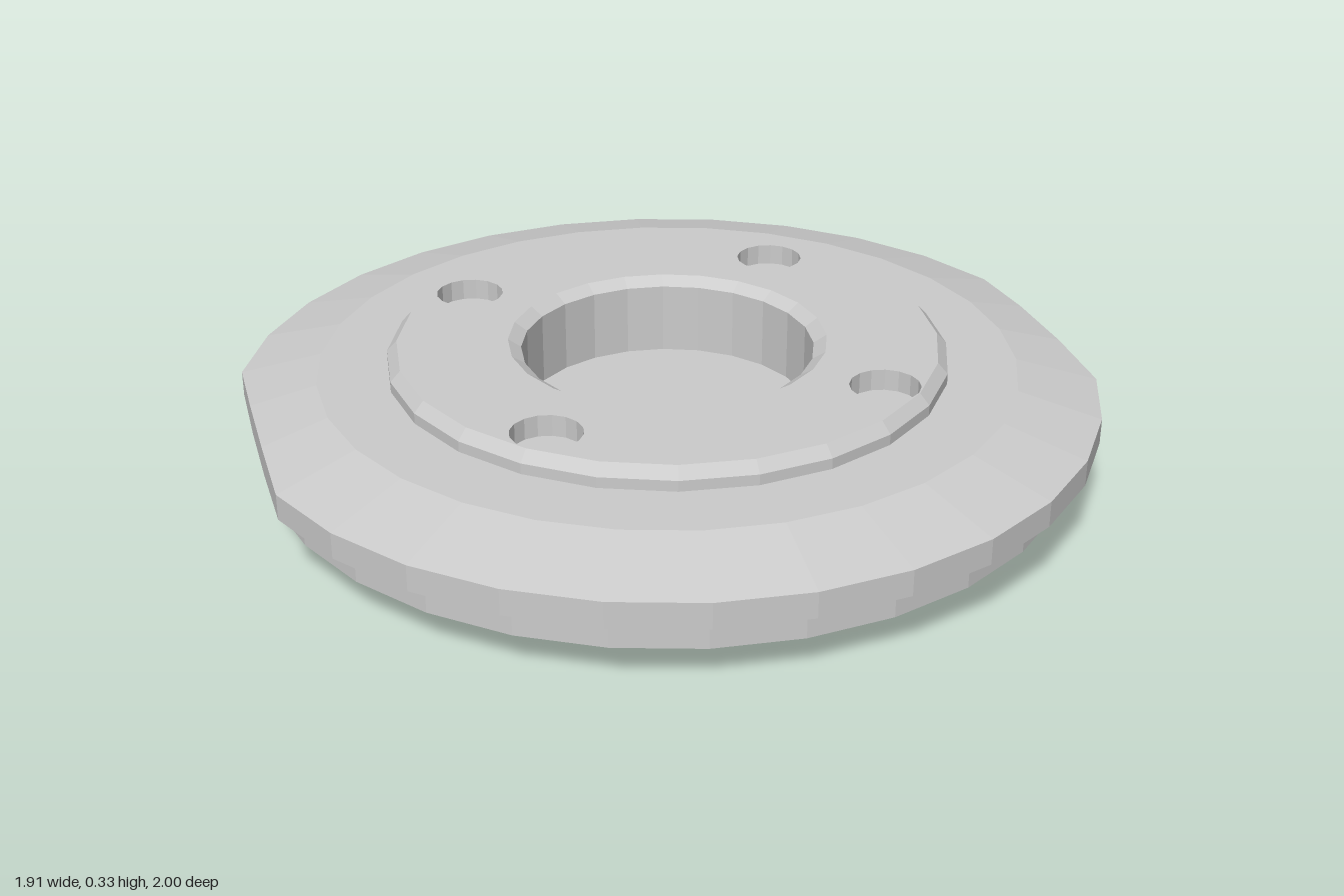
import * as THREE from 'three';

const BORE_SIDES = 24, RIM_SIDES = 30, HOLE_SIDES = 16;
const HOLE_OFFSET = 0.385, HOLE_RADIUS = 0.08;
const FLAT_X = 0.955, TOP = 0.33, FLANGE_TOP = 0.28;

const material = new THREE.MeshStandardMaterial({ color: 0xcccccc, flatShading: true });

function addPart(group, name, geometry) {
  const mesh = new THREE.Mesh(geometry, material);
  mesh.name = name;
  group.add(mesh);
  return mesh;
}

const lathe = (profile, sides) =>
  new THREE.LatheGeometry(profile.map(([r, y]) => new THREE.Vector2(r, y)), sides);

// Regular polygon whose corners line up with the lathed parts
function polygon(radius, sides, x = 0, y = 0) {
  return Array.from({ length: sides }, (_, i) => {
    const a = (i / sides) * Math.PI * 2;
    return new THREE.Vector2(x + radius * Math.sin(a), y + radius * Math.cos(a));
  });
}

// Bevelled ring with two opposite sides cut flat
function flangeGeometry() {
  const geometry = lathe(
    [[0.64, 0.17], [1, 0.17], [1, 0.23], [0.81, FLANGE_TOP], [0.64, FLANGE_TOP]], RIM_SIDES);
  const p = geometry.attributes.position;
  for (let i = 0; i < p.count; i++) {
    const x = p.getX(i), z = p.getZ(i);
    if (Math.abs(x) <= FLAT_X) continue;
    p.setX(i, Math.sign(x) * FLAT_X);
    // Slide the upper edge up the bevel to where the cut meets it
    if (p.getY(i) > 0.2) p.setY(i, 0.23 + (1 - Math.hypot(FLAT_X, z)) * 0.05 / 0.19);
  }
  geometry.computeVertexNormals();
  return geometry;
}

export function createModel() {
  const group = new THREE.Group();
  group.name = 'flangedDisc';

  // Stepped underside
  addPart(group, 'baseDisc', lathe([[0, 0], [0.65, 0], [0.65, 0.09]], BORE_SIDES));
  addPart(group, 'middleDisc', lathe([[0.64, 0.09], [0.945, 0.09], [0.945, 0.17]], RIM_SIDES));
  addPart(group, 'flange', flangeGeometry());

  // Raised hub with chamfered edge and blind central bore
  addPart(group, 'hubRim', lathe([[0.65, FLANGE_TOP], [0.65, 0.305], [0.627, TOP]], BORE_SIDES));
  addPart(group, 'bore', lathe([[0.37, TOP], [0.34, 0.31], [0.34, 0.14], [0, 0.14]], BORE_SIDES));

  // Hub face pierced by the bore and four bolt holes
  const face = new THREE.Shape(polygon(0.627, BORE_SIDES));
  face.holes.push(new THREE.Path(polygon(0.37, BORE_SIDES)));
  for (const sx of [-1, 1]) {
    for (const sz of [-1, 1]) {
      const x = sx * HOLE_OFFSET, z = sz * HOLE_OFFSET;
      face.holes.push(new THREE.Path(polygon(HOLE_RADIUS, HOLE_SIDES, x, -z)));
      const hole = addPart(group, 'boltHole', lathe(
        [[HOLE_RADIUS, TOP], [HOLE_RADIUS, FLANGE_TOP], [0, FLANGE_TOP]], HOLE_SIDES));
      hole.position.set(x, 0, z);
    }
  }
  const hubFace = addPart(group, 'hubFace', new THREE.ShapeGeometry(face));
  hubFace.rotation.x = -Math.PI / 2;
  hubFace.position.y = TOP;

  return group;
}
